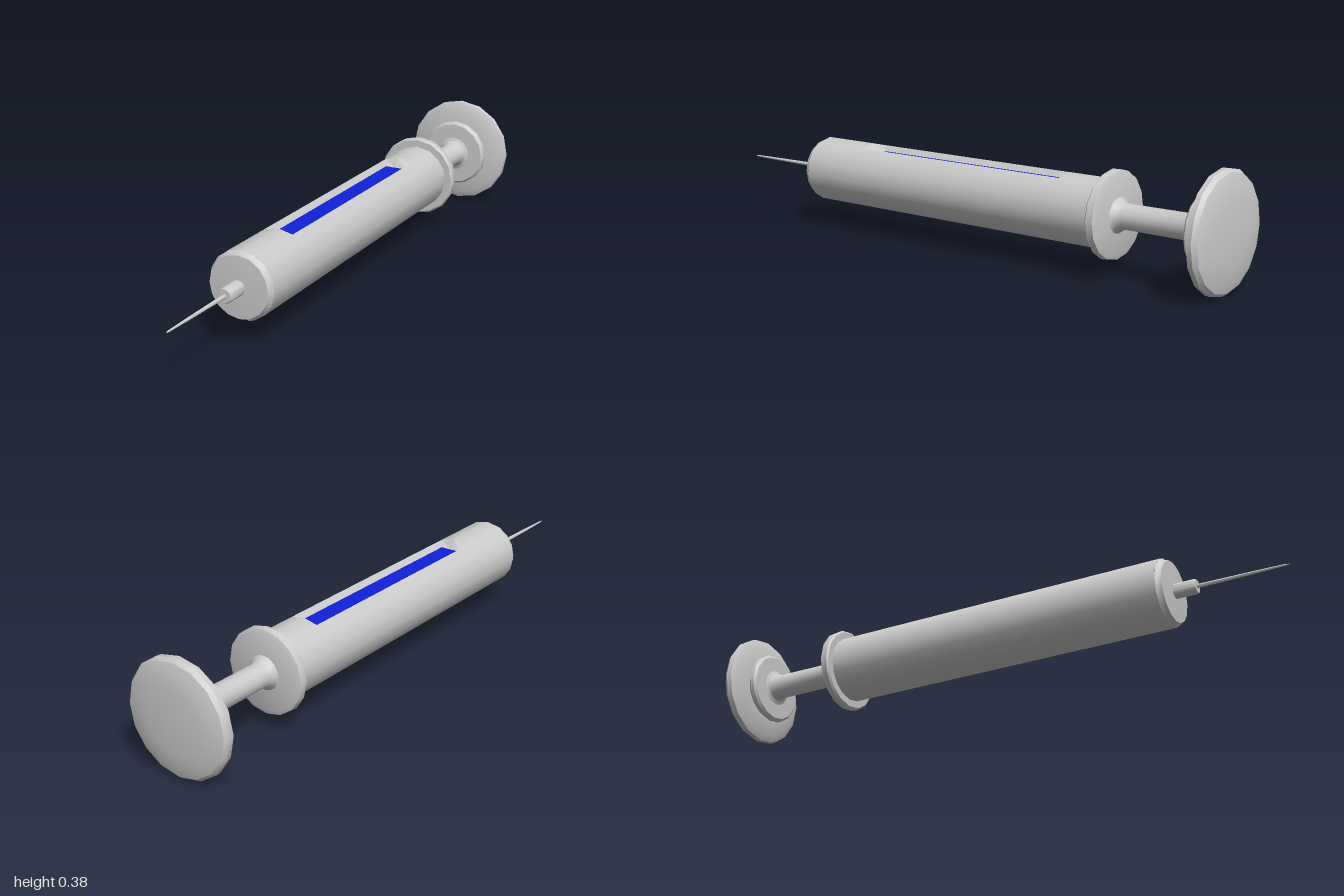
import * as THREE from 'three';
import { toCreasedNormals } from 'three/addons/utils/BufferGeometryUtils.js';

const AXIS_Y = 0.19, SIDES = 16;
const R = 0.11;                       // barrel radius
const BACK = -0.585, FRONT = 0.612;   // barrel ends
const WIN_BACK = -0.42, WIN_FRONT = 0.4;
const HALF = 0.47;                    // half angle of the window opening

const grey = new THREE.MeshStandardMaterial({ color: 0xcccccc });
const greyThin = new THREE.MeshStandardMaterial({ color: 0xcccccc, side: THREE.DoubleSide });
const blue = new THREE.MeshStandardMaterial({ color: 0x1022d8, side: THREE.DoubleSide });

export function createModel() {
  const model = new THREE.Group();
  model.name = 'syringe';

  const add = (name, geometry, material = grey) => {
    const mesh = new THREE.Mesh(geometry, material);
    mesh.name = name;
    mesh.position.y = AXIS_Y;
    model.add(mesh);
  };

  // Turned part along z; profile is [radius, z] from back to front
  const turned = (name, profile, sides = SIDES) => {
    const points = profile.map(([r, z]) => new THREE.Vector2(r, z));
    const geometry = new THREE.LatheGeometry(points, sides).rotateX(Math.PI / 2);
    add(name, toCreasedNormals(geometry, 0.6));
  };

  // Open piece of barrel wall between two z values and two angles (PI is the top)
  const wall = (name, z0, z1, segments, start, length) => {
    const geometry = new THREE.CylinderGeometry(R, R, z1 - z0, segments, 1, true, start, length);
    add(name, geometry.rotateX(Math.PI / 2).translate(0, 0, (z0 + z1) / 2), greyThin);
  };

  // Barrel with a long opening along the top
  wall('barrel', BACK, FRONT, 14, Math.PI + HALF, 2 * Math.PI - 2 * HALF);
  wall('barrelTopBack', BACK, WIN_BACK, 2, Math.PI - HALF, 2 * HALF);
  wall('barrelTopFront', WIN_FRONT, FRONT, 2, Math.PI - HALF, 2 * HALF);
  turned('barrelNose', [[R, FRONT], [0.104, 0.618], [0.1, 0.63], [0.05, 0.633], [0, 0.634]]);

  // Sloping frame from the opening down to the liquid
  const rx = R * Math.sin(HALF), ry = R * Math.cos(HALF);
  const rim = [[-rx, ry, WIN_BACK], [0, R, WIN_BACK], [rx, ry, WIN_BACK],
    [rx, ry, WIN_FRONT], [0, R, WIN_FRONT], [-rx, ry, WIN_FRONT]];
  const floorY = 0.08;
  const floor = [[-0.036, floorY, -0.4], [0, floorY, -0.4], [0.036, floorY, -0.4],
    [0.036, floorY, 0.375], [0, floorY, 0.375], [-0.036, floorY, 0.375]];
  const corners = [];
  rim.forEach((p, i) => {
    const j = (i + 1) % rim.length;
    corners.push(...p, ...floor[i], ...floor[j], ...p, ...floor[j], ...rim[j]);
  });
  const frame = new THREE.BufferGeometry();
  frame.setAttribute('position', new THREE.Float32BufferAttribute(corners, 3));
  frame.computeVertexNormals();
  add('windowFrame', frame, greyThin);

  // Liquid strip seen through the window
  const strip = new THREE.PlaneGeometry(0.072, 0.775).rotateX(-Math.PI / 2);
  add('liquid', strip.translate(0, floorY, -0.0125), blue);

  // Finger flange
  turned('flange', [[0, -0.61], [0.125, -0.61], [0.138, -0.605], [0.14, -0.583],
    [0.134, -0.577], [0.1, -0.577]]);

  // Plunger: rod with flared ends, collar and thumb rest
  turned('plungerRod', [[0.065, -0.9], [0.05, -0.893], [0.041, -0.87], [0.04, -0.64],
    [0.045, -0.622], [0.058, -0.608]]);
  turned('plungerCollar', [[0.1, -0.945], [0.108, -0.928], [0.12, -0.92], [0.12, -0.908],
    [0.112, -0.9], [0, -0.896]]);
  turned('thumbRest', [[0, -1], [0.1, -0.998], [0.15, -0.992], [0.178, -0.983],
    [0.188, -0.97], [0.187, -0.953], [0.165, -0.943], [0.11, -0.937], [0, -0.935]]);

  // Needle and its hub
  turned('needleHub', [[0.024, 0.63], [0.024, 0.7], [0.021, 0.706], [0, 0.706]]);
  turned('needle', [[0.007, 0.7], [0.005, 0.88], [0.003, 0.985], [0, 1]], 8);

  return model;
}
